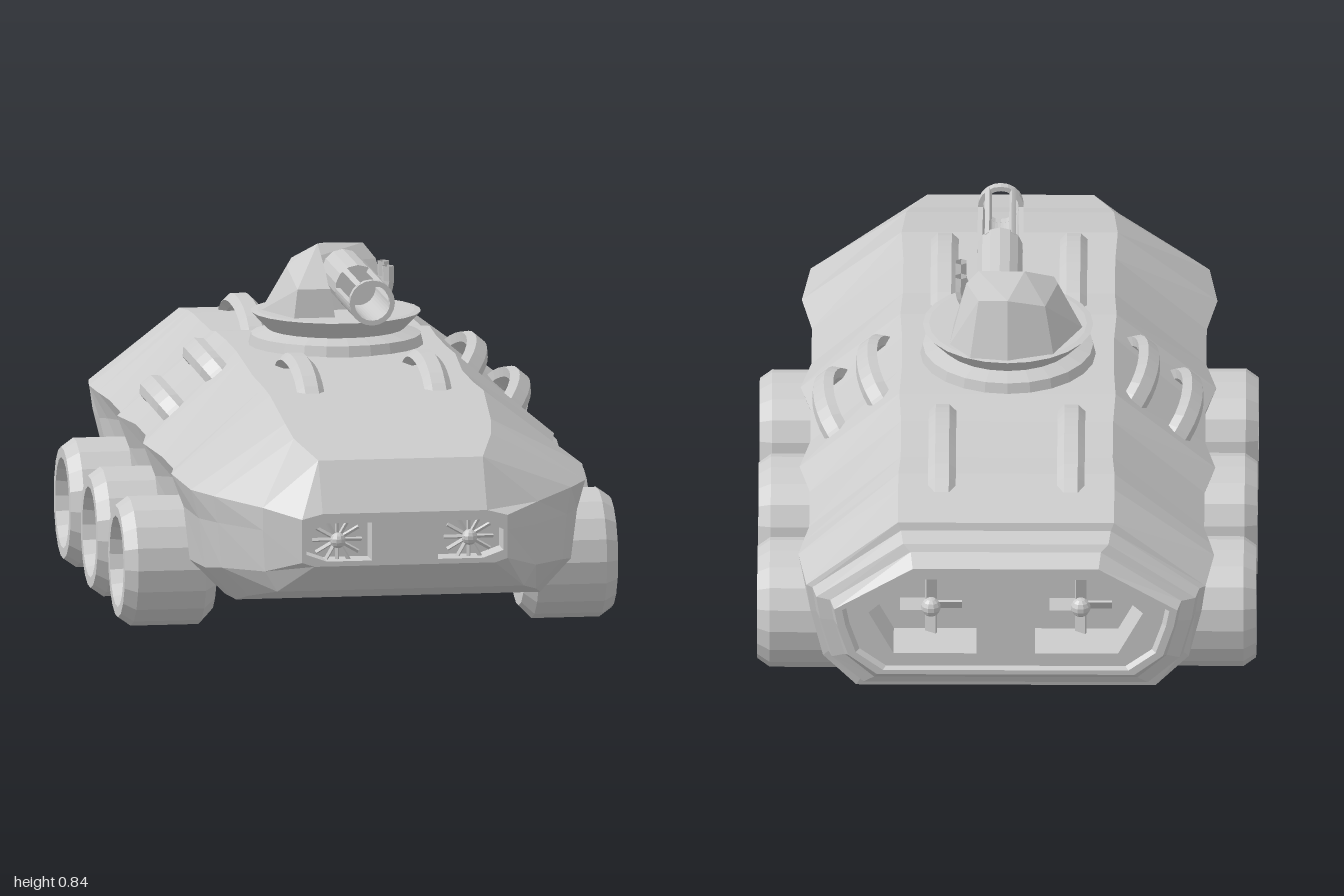
import * as THREE from 'three';
import { ConvexGeometry } from 'three/addons/geometries/ConvexGeometry.js';

const mat = new THREE.MeshStandardMaterial({ color: 0xcccccc, flatShading: true });
const thin = new THREE.MeshStandardMaterial({ color: 0xcccccc, flatShading: true, side: THREE.DoubleSide });

function add(parent, name, geo, x = 0, y = 0, z = 0, material = mat) {
  const m = new THREE.Mesh(geo, material);
  m.name = name;
  m.position.set(x, y, z);
  parent.add(m);
  return m;
}

// Skin through closed rings of [x, y], each with its own z
function loft(rings) {
  const pos = [], idx = [], n = rings[0].pts.length;
  for (const r of rings) for (const [x, y] of r.pts) pos.push(x, y, r.z);
  for (let i = 0; i < rings.length - 1; i++) {
    for (let j = 0; j < n; j++) {
      const k = (j + 1) % n;
      const a = i * n + j, b = i * n + k, c = b + n, d = a + n;
      idx.push(a, b, c, a, c, d);
    }
  }
  const g = new THREE.BufferGeometry();
  g.setAttribute('position', new THREE.Float32BufferAttribute(pos, 3));
  g.setIndex(idx);
  g.computeVertexNormals();
  return g;
}

// Half section from belly to roof, mirrored into a full ring
function section([z, roofW, roofY, shoulderW, shoulderY, midW, midY, lowW, lowY, bellyW, bellyY]) {
  const half = [[bellyW, bellyY], [lowW, lowY], [midW, midY], [shoulderW, shoulderY], [roofW, roofY]];
  return { z, pts: [...half, ...mirrored(half)] };
}

const toPoints = pts => pts.map(([x, y]) => new THREE.Vector2(x, y));
const toPoints3 = pts => pts.map(p => new THREE.Vector3(...p));
const mirrored = pts => pts.map(([x, y]) => [-x, y]).reverse();

// Hub with radial blades, used in the lights and the rear ducts
function fan(parent, name, x, y, z, radius, blades, dir, bladeW) {
  const g = new THREE.Group();
  g.name = name;
  g.position.set(x, y, z);
  add(g, 'hub', new THREE.SphereGeometry(radius * 0.32, 10, 7), 0, 0, dir * 0.015);
  const shaft = add(g, 'shaft', new THREE.CylinderGeometry(radius * 0.15, radius * 0.15, 0.08, 8), 0, 0, -dir * 0.03);
  shaft.rotation.x = Math.PI / 2;
  for (let i = 0; i < blades; i++) {
    const pivot = new THREE.Group();
    pivot.rotation.z = i / blades * Math.PI * 2;
    const b = add(pivot, 'blade', new THREE.BoxGeometry(bladeW, radius, 0.006), 0, radius / 2, 0);
    b.rotation.y = 0.6;
    g.add(pivot);
  }
  parent.add(g);
}

// End plate with two recessed windows
function endPlate(parent, name, ring, win, dir, depth) {
  const z = ring.z, windows = [win, mirrored(win)];
  const s = new THREE.Shape(toPoints(ring.pts));
  for (const w of windows) s.holes.push(new THREE.Path(toPoints(w)));
  add(parent, name, new THREE.ShapeGeometry(s), 0, 0, z, thin);
  for (const w of windows) {
    const back = z - dir * depth;
    add(parent, name + 'RecessWalls', loft([{ z: back, pts: w }, { z, pts: w }]), 0, 0, 0, thin);
    add(parent, name + 'RecessBack', new THREE.ShapeGeometry(new THREE.Shape(toPoints(w))), 0, 0, back, thin);
  }
}

function buildHull(root) {
  const body = [
    [-0.9, 0.26, 0.57, 0.48, 0.4, 0.47, 0.33, 0.44, 0.21, 0.36, 0.13],
    [-0.76, 0.26, 0.588, 0.5, 0.41, 0.475, 0.33, 0.45, 0.21, 0.37, 0.145],
    [-0.69, 0.26, 0.593, 0.49, 0.405, 0.465, 0.34, 0.45, 0.2, 0.37, 0.115],
    [-0.6, 0.255, 0.59, 0.475, 0.4, 0.45, 0.35, 0.43, 0.23, 0.36, 0.14],
    [-0.42, 0.255, 0.593, 0.475, 0.4, 0.45, 0.35, 0.43, 0.23, 0.36, 0.14],
    [-0.31, 0.26, 0.61, 0.5, 0.41, 0.47, 0.33, 0.455, 0.2, 0.37, 0.12],
    [-0.18, 0.255, 0.61, 0.475, 0.41, 0.45, 0.35, 0.43, 0.23, 0.36, 0.14],
    [-0.02, 0.255, 0.61, 0.475, 0.41, 0.45, 0.35, 0.43, 0.23, 0.36, 0.14],
    [0.1, 0.26, 0.61, 0.5, 0.41, 0.47, 0.33, 0.455, 0.2, 0.37, 0.12],
    [0.24, 0.255, 0.593, 0.475, 0.4, 0.45, 0.35, 0.43, 0.23, 0.36, 0.14],
    [0.42, 0.255, 0.593, 0.475, 0.4, 0.45, 0.35, 0.43, 0.23, 0.36, 0.14],
  ];
  const nose = [
    [0.55, 0.26, 0.595, 0.5, 0.41, 0.47, 0.33, 0.455, 0.2, 0.37, 0.115],
    [0.73, 0.25, 0.555, 0.48, 0.4, 0.46, 0.33, 0.445, 0.21, 0.37, 0.13],
    [0.8, 0.24, 0.53, 0.435, 0.395, 0.425, 0.33, 0.415, 0.22, 0.35, 0.15],
    [0.93, 0.2, 0.497, 0.335, 0.385, 0.335, 0.33, 0.33, 0.23, 0.3, 0.18],
    [1.0, 0.2, 0.378, 0.25, 0.365, 0.25, 0.33, 0.25, 0.26, 0.22, 0.25],
  ];
  const rings = [...body, ...nose].map(section);

  // Stepped rear frame: shrunken copies of the last ring
  const last = rings[0];
  const step = (z, s, sy) => ({ z, pts: last.pts.map(([x, y]) => [x * s, 0.36 + (y - 0.36) * sy]) });
  const rear = [step(-0.985, 0.8, 0.58), step(-1, 0.82, 0.6), step(-1, 0.86, 0.65),
    step(-0.96, 0.88, 0.77), step(-0.95, 0.95, 0.85), step(-0.905, 0.97, 0.91)];
  add(root, 'hull', loft([...rear, ...rings]));

  // Rear ducts and headlights
  const duct = [[0.07, 0.26], [0.27, 0.26], [0.33, 0.37], [0.23, 0.46], [0.07, 0.46]];
  endPlate(root, 'rearPlate', rear[0], duct, -1, 0.13);
  const lamp = [[0.08, 0.262], [0.19, 0.262], [0.24, 0.28], [0.24, 0.33], [0.19, 0.355], [0.08, 0.355]];
  endPlate(root, 'frontPlate', rings[rings.length - 1], lamp, 1, 0.07);
  for (const s of [1, -1]) {
    fan(root, 'rearPropeller', s * 0.18, 0.365, -0.93, 0.075, 4, -1, 0.03);
    fan(root, 'headlight', s * 0.16, 0.31, 0.965, 0.06, 12, 1, 0.008);
  }
}

// Arched rail along z, flattened in section and tilted outward about z
function rail(root, name, x, y, z, half, rise, tilt) {
  const pts = [[-1, -0.3], [-0.75, 0.45], [-0.4, 0.88], [0, 1], [0.4, 0.88], [0.75, 0.45], [1, -0.3]]
    .map(([t, h]) => [0, rise * h, t * half]);
  const tube = new THREE.TubeGeometry(new THREE.CatmullRomCurve3(toPoints3(pts)), 12, 0.019, 6);
  tube.scale(1.75, 1, 1);
  add(root, name, tube, x, y, z).rotation.z = tilt;
}

function buildWheels(root) {
  // Open tyre profile with a raised hub ring: [radius, distance along the axle]
  const profile = [[0.064, 0], [0.125, 0], [0.156, 0.03], [0.156, 0.195], [0.135, 0.225], [0.11, 0.225],
    [0.1, 0.185], [0.085, 0.15], [0.082, 0.175], [0.068, 0.175], [0.062, 0.15], [0.062, 0.02], [0.064, 0]];
  const geo = new THREE.LatheGeometry(toPoints(profile), 18);
  for (const s of [1, -1]) {
    for (const z of [0.335, -0.1, -0.53]) {
      const w = add(root, 'wheel', geo, s * 0.375, s > 0 ? 0.158 : 0.164, z, thin);
      w.rotation.z = -s * Math.PI / 2;
    }
  }
}

function buildTurret(root) {
  const t = new THREE.Group();
  t.name = 'turret';
  t.position.z = -0.1;
  root.add(t);
  const base = [[0.215, 0.595], [0.205, 0.635], [0.165, 0.648], [0.205, 0.69], [0.19, 0.692], [0, 0.692]];
  add(t, 'turretRing', new THREE.LatheGeometry(toPoints(base), 24), 0, 0, 0, thin);

  // Faceted dome behind the gun, with a housing at the gun's right
  add(t, 'turretDome', new ConvexGeometry(toPoints3([[-0.18, 0.69, -0.02], [-0.1, 0.69, 0.02], [0.13, 0.69, 0],
    [0.14, 0.69, -0.11], [0.09, 0.69, -0.18], [0, 0.69, -0.195], [-0.11, 0.69, -0.16], [-0.12, 0.8, 0],
    [-0.04, 0.848, -0.03], [0.07, 0.848, -0.03], [-0.09, 0.8, -0.12], [0, 0.83, -0.15], [0.07, 0.825, -0.14],
    [0.1, 0.81, -0.02]])));
  add(t, 'gunHousing', new ConvexGeometry(toPoints3([[-0.18, 0.69, -0.02], [-0.12, 0.69, 0.12], [-0.02, 0.69, 0.12],
    [-0.02, 0.69, -0.02], [-0.12, 0.8, 0], [-0.11, 0.76, 0.11], [-0.03, 0.76, 0.11], [-0.04, 0.848, -0.03]])));

  // Gun: solid breech, then a slotted sleeve ending in a ring
  const gun = new THREE.Group();
  gun.name = 'gun';
  gun.position.set(0.02, 0.78, 0);
  gun.rotation.x = Math.PI / 2;
  t.add(gun);
  add(gun, 'breech', new THREE.CylinderGeometry(0.055, 0.055, 0.24, 14), 0, 0.1, 0);
  const tube = (name, len, y, a0, a1) => {
    const s = new THREE.Shape();
    s.absarc(0, 0, 0.055, a0, a1, false);
    s.absarc(0, 0, 0.043, a1, a0, true);
    const g = new THREE.ExtrudeGeometry(s, { depth: len, bevelEnabled: false, curveSegments: 10 });
    g.rotateX(-Math.PI / 2);
    add(gun, name, g, 0, y, 0);
  };
  // Sleeve angles: the gun's up side lies at +90 degrees
  tube('sleeveTrough', 0.23, 0.21, Math.PI, Math.PI * 2);
  for (const a of [0.3, 0.7]) tube('sleeveBar', 0.23, 0.21, Math.PI * a - 0.12, Math.PI * a + 0.12);
  tube('muzzleRing', 0.02, 0.43, 0, Math.PI * 1.9999);

  // Curved cradle arms at the gun's left
  const arm = new THREE.CatmullRomCurve3(toPoints3([[0.05, 0.69, 0], [0.09, 0.72, 0], [0.112, 0.76, 0], [0.113, 0.81, 0]]));
  for (const z of [0.015, 0.09]) add(t, 'cradleArm', new THREE.TubeGeometry(arm, 8, 0.015, 6), 0, 0, z, thin);
}

export function createModel() {
  const root = new THREE.Group();
  root.name = 'armouredCar';
  buildHull(root);
  buildWheels(root);
  buildTurret(root);
  for (const s of [1, -1]) {
    for (const z of [0.33, -0.555]) rail(root, 'roofRail', s * 0.155, 0.588, z, 0.21, 0.048, 0);
    rail(root, 'upperSideRail', s * 0.305, 0.558, -0.11, 0.16, 0.055, -s * 0.7);
    rail(root, 'lowerSideRail', s * 0.41, 0.47, -0.11, 0.16, 0.055, -s * 0.7);
  }
  return root;
}
